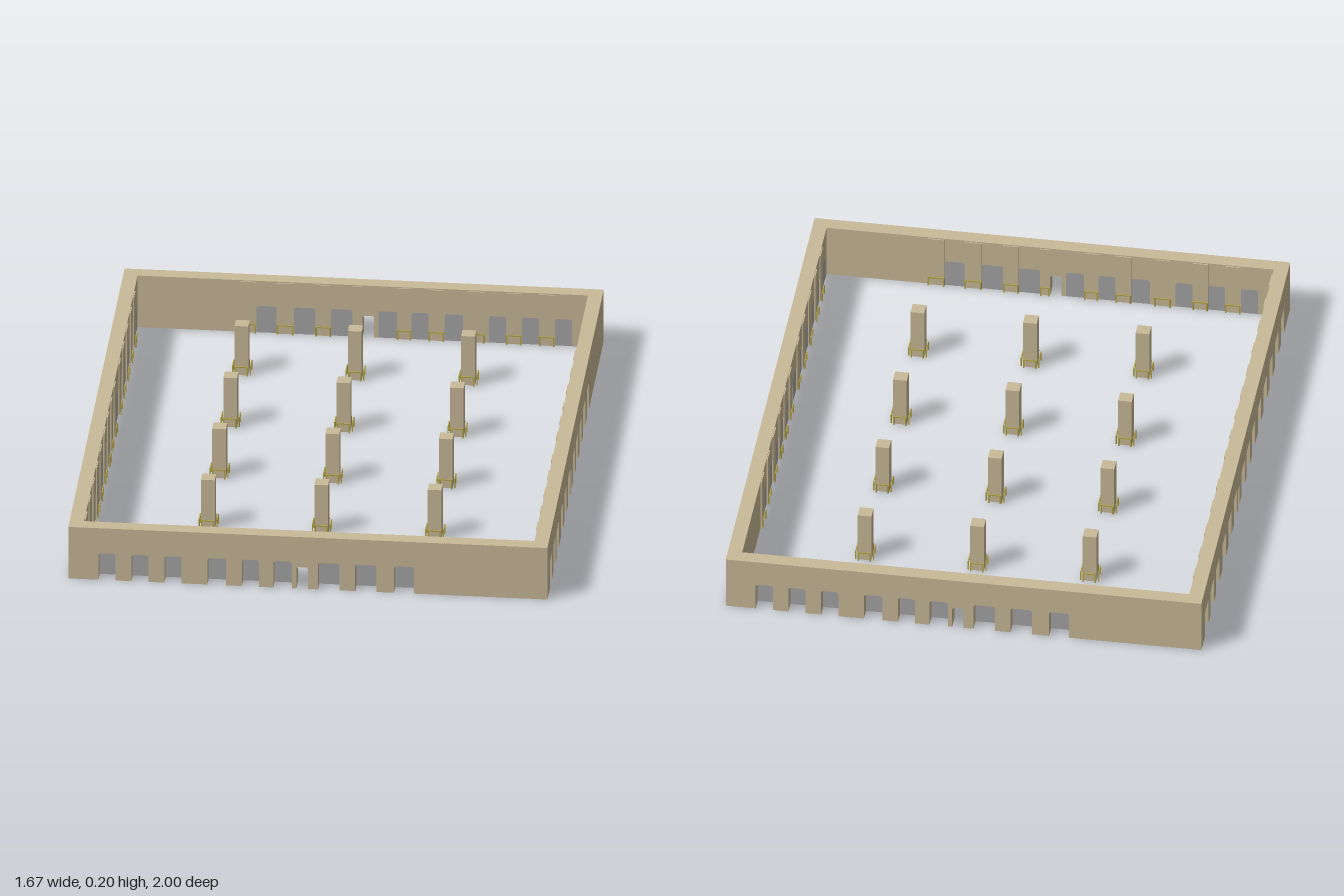
import * as THREE from 'three';

const mat = (color) => new THREE.MeshStandardMaterial({ color, flatShading: true });

export function createModel() {
  const model = new THREE.Group();
  model.name = 'hall';
  const stone = mat(0xc9ba98), panelGrey = mat(0xa6a6a6), doorGrey = mat(0x808080), brass = mat(0xb5a642);
  const T = 0.05, H = 0.2;

  function box(parent, name, material, w, h, d, x, y, z) {
    const m = new THREE.Mesh(new THREE.BoxGeometry(w, h, d), material);
    m.name = name;
    m.position.set(x, y, z);
    parent.add(m);
    return m;
  }

  // Low barrier: two posts joined by a rail
  function barrier(parent, width, x, z) {
    for (const s of [-1, 1]) box(parent, 'barrierPost', brass, 0.005, 0.036, 0.004, x + s * (width / 2 - 0.003), 0.018, z);
    box(parent, 'barrierRail', brass, width, 0.004, 0.003, x, 0.034, z);
  }

  // Wall along local x with its outer face at z = out; niches = [left, right] pairs
  function wall(name, length, out, angle, niches, door, closedDoor) {
    const g = new THREE.Group();
    g.name = name;
    g.rotation.y = angle;
    const holes = niches.map(([a, b]) => ({ a, b, h: 0.103 }));
    if (door) holes.push({ a: door[0], b: door[1], h: 0.083, door: true });
    holes.sort((p, q) => p.a - q.a);

    // Outline with the openings cut up from the floor
    const s = new THREE.Shape();
    const c = 0.006;
    s.moveTo(-length / 2, 0);
    for (const { a, b, h } of holes) {
      s.lineTo(a, 0);
      s.lineTo(a, h - c);
      s.lineTo(a + c, h);
      s.lineTo(b - c, h);
      s.lineTo(b, h - c);
      s.lineTo(b, 0);
    }
    s.lineTo(length / 2, 0);
    s.lineTo(length / 2, H);
    s.lineTo(-length / 2, H);
    const body = new THREE.Mesh(new THREE.ExtrudeGeometry(s, { depth: T, bevelEnabled: false }), stone);
    body.name = name + 'Body';
    body.position.z = out - T;
    g.add(body);

    const inner = out - T;
    holes.forEach((o, i) => {
      const w = o.b - o.a, mid = (o.a + o.b) / 2;
      // Panel closing the inner side of the opening
      if (!o.door) box(g, 'nichePanel', panelGrey, w, o.h, 0.004, mid, o.h / 2, inner + 0.003);
      else if (closedDoor) box(g, 'doorPanel', doorGrey, w, o.h, 0.004, mid, o.h / 2, inner + 0.003);
      // Pier and barrier after each opening, inside the hall
      const gap = (i + 1 < holes.length ? holes[i + 1].a : o.b + 0.06) - o.b;
      if (gap < 0.03) return;
      const pw = Math.min(gap, 0.06), px = o.b + gap / 2;
      box(g, 'pier', stone, pw, H - 0.004, 0.004, px, (H - 0.004) / 2, inner - 0.002);
      barrier(g, pw, px, inner - 0.009);
    });
    model.add(g);
  }

  const endNiches = [[-0.73, -0.67], [-0.615, -0.555], [-0.5, -0.44], [-0.35, -0.285], [-0.23, -0.17],
    [-0.12, -0.055], [0.035, 0.11], [0.165, 0.24], [0.3, 0.37]];
  const sideNiches = [-0.915, -0.79, -0.67, -0.525, -0.395, -0.27, -0.095, 0.02, 0.135, 0.27, 0.4]
    .map((a) => [a, a + 0.075]);
  const extraNiches = [0.53, 0.66, 0.79].map((a) => [a, a + 0.075]);
  wall('frontWall', 1.67, 1, 0, endNiches, [-0.04, 0]);
  wall('backWall', 1.67, 1, Math.PI, endNiches, [-0.04, 0]);
  wall('leftWall', 1.9, 0.835, Math.PI / 2, sideNiches, [-0.18, -0.14], true);
  wall('rightWall', 1.9, 0.835, -Math.PI / 2, [...sideNiches, ...extraNiches], [-0.18, -0.14], true);

  // Grid of square columns, each ringed by four barriers
  for (const x of [-0.39, 0.005, 0.4]) {
    for (const z of [-0.64, -0.24, 0.155, 0.55]) {
      const col = new THREE.Group();
      col.name = 'column';
      col.position.set(x, 0, z);
      box(col, 'columnShaft', stone, 0.048, 0.19, 0.048, 0, 0.095, 0);
      for (let i = 0; i < 4; i++) {
        const side = new THREE.Group();
        side.name = 'columnBarrier';
        side.rotation.y = i * Math.PI / 2;
        barrier(side, 0.048, 0, 0.031);
        col.add(side);
      }
      model.add(col);
    }
  }
  return model;
}
